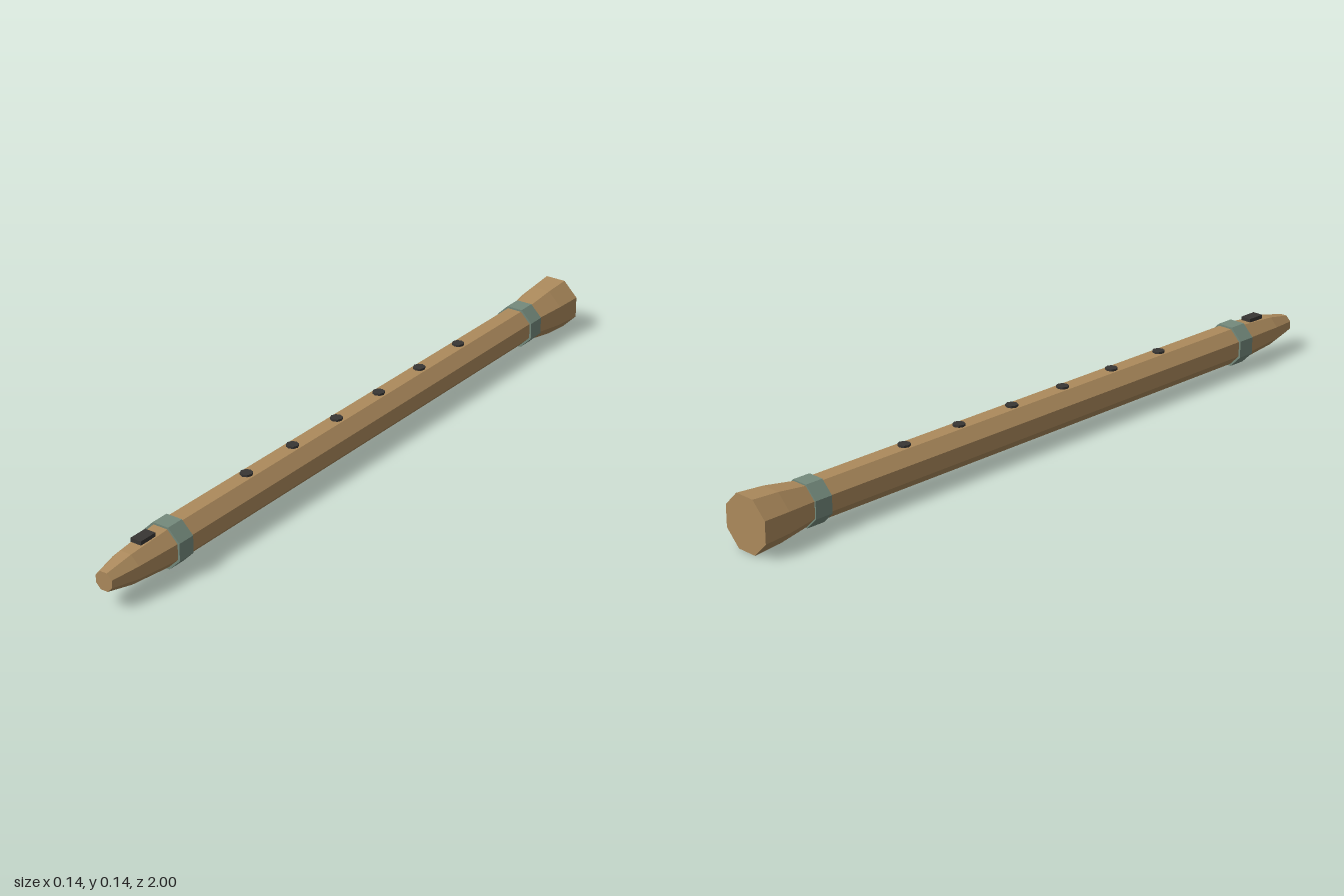
import * as THREE from 'three';

const AXIS_Y = 0.0725; // height of the bore axis
const wood = new THREE.MeshStandardMaterial({ color: 0xac8a5c, flatShading: true });
wood.name = 'wood';
const metal = new THREE.MeshStandardMaterial({ color: 0x748a7c, flatShading: true });
metal.name = 'greenMetal';
const dark = new THREE.MeshStandardMaterial({ color: 0x383634, flatShading: true });
dark.name = 'darkOpening';

// Octagonal solid along z, flat side up; profile is [apothem, z] from back to front
function octagonal(name, profile, material) {
  const points = profile.map(([a, z]) => new THREE.Vector2(a / Math.cos(Math.PI / 8), z));
  const geometry = new THREE.LatheGeometry(points, 8, Math.PI / 8);
  geometry.rotateX(Math.PI / 2);
  const mesh = new THREE.Mesh(geometry, material);
  mesh.name = name;
  mesh.position.y = AXIS_Y;
  return mesh;
}

export function createModel() {
  const model = new THREE.Group();
  model.name = 'flute';

  // Flared foot, straight tube and tapered mouthpiece in one turned body
  model.add(octagonal('body', [
    [0, -1], [0.0725, -1], [0.067, -0.92], [0.052, -0.82],
    [0.052, 0.79], [0.041, 0.92], [0.025, 1], [0, 1],
  ], wood));

  // Bands around both ends of the tube
  for (const [name, z] of [['footBand', -0.805], ['headBand', 0.765]]) {
    model.add(octagonal(name, [
      [0.05, z - 0.026], [0.0575, z - 0.026], [0.0575, z + 0.026], [0.05, z + 0.026],
    ], metal));
  }

  // Six finger holes along the top
  const holeGeometry = new THREE.CylinderGeometry(0.017, 0.017, 0.009, 8);
  for (let i = 0; i < 6; i++) {
    const hole = new THREE.Mesh(holeGeometry, dark);
    hole.name = `fingerHole${i + 1}`;
    hole.position.set(0, 0.126, -0.49 + i * 0.1895);
    model.add(hole);
  }

  // Wind opening on the mouthpiece
  const opening = new THREE.Mesh(new THREE.BoxGeometry(0.032, 0.011, 0.054), dark);
  opening.name = 'windOpening';
  opening.position.set(0, 0.1255, 0.855);
  model.add(opening);

  return model;
}
